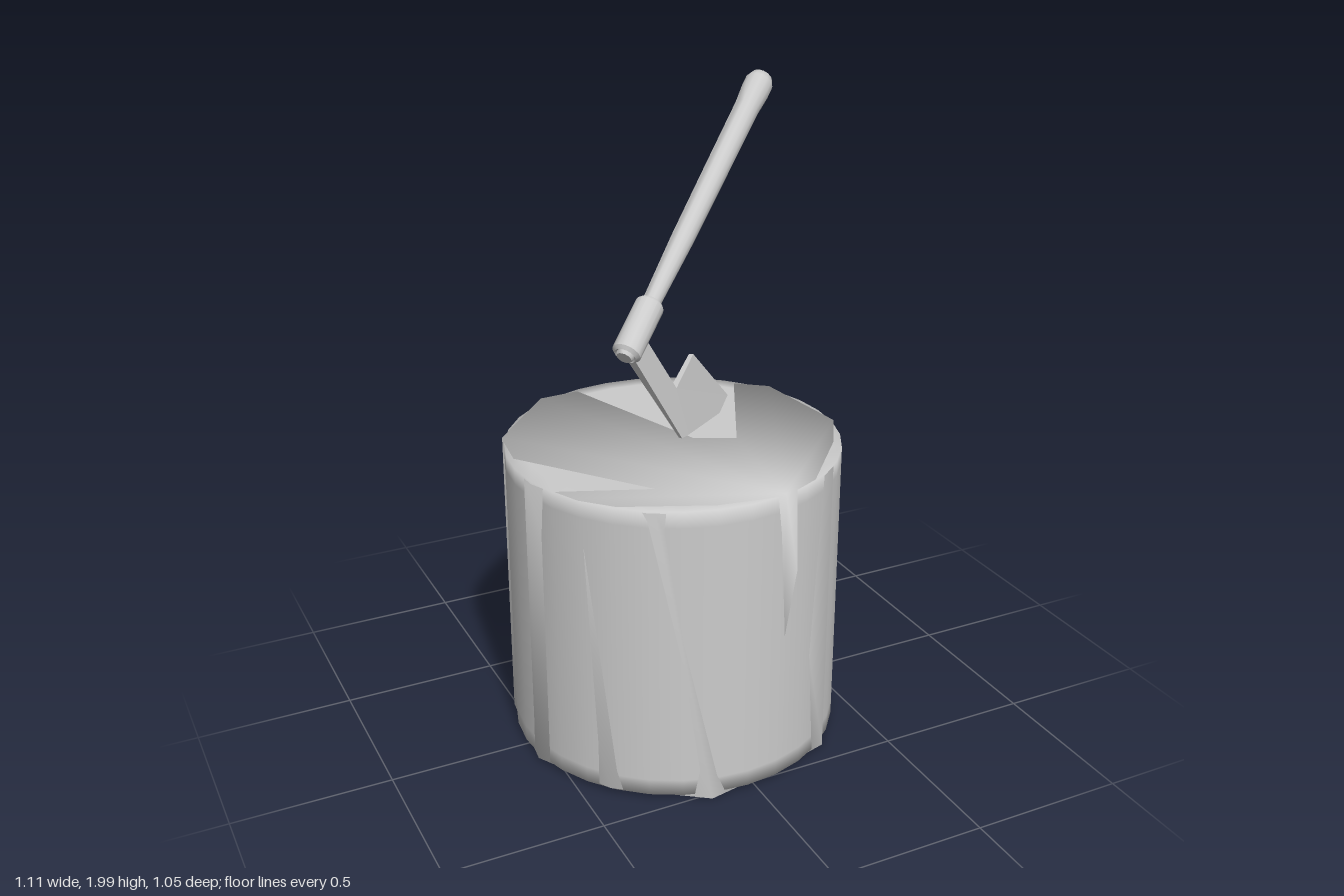
import * as THREE from 'three';
import { toCreasedNormals } from 'three/addons/utils/BufferGeometryUtils.js';

const material = new THREE.MeshStandardMaterial({ color: 0xcccccc });

function addMesh(parent, name, geometry) {
  const mesh = new THREE.Mesh(geometry, material);
  mesh.name = name;
  parent.add(mesh);
  return mesh;
}

function lathe(profile, sides) {
  return new THREE.LatheGeometry(profile.map(([r, y]) => new THREE.Vector2(r, y)), sides);
}

// Coarse bark: a leaning prism whose corners break through the round body as ridges,
// and whose uneven ends break through the flat ends as split patches.
// Each corner: top [angle, radius, height], bottom [angle, radius, height]
const BARK_CORNERS = [
  [[12, 0.532, 0.985], [16, 0.515, 0.024]],
  [[38, 0.533, 0.972], [37, 0.536, 0.008]],
  [[79, 0.531, 0.981], [79, 0.531, 0.012]],
  [[117, 0.534, 0.984], [109, 0.534, 0.022]],
  [[150, 0.533, 0.967], [150, 0.533, 0.006]],
  [[180, 0.526, 0.968], [190, 0.526, 0.024]],
  [[209, 0.533, 0.988], [217, 0.535, 0.01]],
  [[245, 0.532, 0.984], [247, 0.532, 0.022]],
  [[281, 0.534, 0.969], [281, 0.534, 0.012]],
  [[303, 0.524, 0.984], [313, 0.533, 0.024]],
  [[329, 0.533, 0.97], [347, 0.537, 0.004]],
];

function barkGeometry() {
  const n = BARK_CORNERS.length, pos = [], index = [];
  BARK_CORNERS.forEach(corner => corner.forEach(([angle, r, y]) => {
    const a = THREE.MathUtils.degToRad(angle);
    pos.push(r * Math.sin(a), y, r * Math.cos(a));
  }));
  for (let i = 0; i < n; i++) {
    const j = (i + 1) % n;
    const top = 2 * i, low = top + 1, nextTop = 2 * j, nextLow = nextTop + 1;
    index.push(low, nextLow, top, nextLow, nextTop, top);
    // both ends fan out from the front corner
    if (i > 0 && j > 0) index.push(0, top, nextTop, 1, nextLow, low);
  }
  const g = new THREE.BufferGeometry();
  g.setAttribute('position', new THREE.Float32BufferAttribute(pos, 3));
  g.setIndex(index);
  g.computeVertexNormals();
  return g;
}

// Flat-sided plate from outline points [x, y, z, half thickness]
function plate(outline, triangles) {
  const p = outline.map(([x, y, z]) => new THREE.Vector3(x, y, z));
  const n = new THREE.Vector3().crossVectors(p[1].clone().sub(p[0]), p[2].clone().sub(p[0])).normalize();
  const back = p.map((v, i) => v.clone().addScaledVector(n, outline[i][3]));
  const front = p.map((v, i) => v.clone().addScaledVector(n, -outline[i][3]));
  const pts = [];
  triangles.forEach(([a, b, c]) => pts.push(back[a], back[b], back[c], front[a], front[c], front[b]));
  p.forEach((_, i) => {
    const j = (i + 1) % p.length;
    pts.push(front[i], front[j], back[j], front[i], back[j], back[i]);
  });
  const g = new THREE.BufferGeometry().setFromPoints(pts);
  g.computeVertexNormals();
  return g;
}

export function createModel() {
  const model = new THREE.Group();
  model.name = 'choppingBlockWithAxe';

  const stump = new THREE.Group();
  stump.name = 'stump';
  stump.position.x = -0.028;
  model.add(stump);

  // Round body; the narrow bands beside each rim give it a soft shaded edge
  addMesh(stump, 'stumpBody', lathe([
    [0, 0.018], [0.47, 0.018], [0.525, 0.018], [0.525, 0.07],
    [0.525, 0.925], [0.525, 0.977], [0.47, 0.977], [0, 0.977],
  ], 32));
  addMesh(stump, 'barkRidges', barkGeometry());

  const axe = new THREE.Group();
  axe.name = 'axe';
  model.add(axe);

  // Shaft group runs along +y from the head end to the butt
  const start = new THREE.Vector3(-0.228, 1.314, 0.092);
  const end = new THREE.Vector3(0.535, 1.973, -0.488);
  const length = start.distanceTo(end);
  const shaft = new THREE.Group();
  shaft.name = 'shaft';
  shaft.position.copy(start);
  shaft.quaternion.setFromUnitVectors(new THREE.Vector3(0, 1, 0), end.clone().sub(start).normalize());
  axe.add(shaft);

  addMesh(shaft, 'handle', toCreasedNormals(lathe([
    [0, -0.008], [0.024, -0.008], [0.028, 0], [0.029, 0.22], [0.036, 0.45], [0.039, 0.75],
    [0.041, length - 0.15], [0.047, length - 0.07], [0.047, length - 0.035],
    [0.037, length - 0.01], [0.018, length], [0, length],
  ], 14), 0.9));

  // Socket holding the handle
  addMesh(shaft, 'headSocket', toCreasedNormals(lathe([
    [0.027, 0.006], [0.034, 0], [0.045, 0.01], [0.045, 0.19], [0.038, 0.2], [0.027, 0.2],
  ], 16), 0.7));

  // Neck and blade, tapering to a cutting edge sunk in the stump
  addMesh(axe, 'axeBlade', plate([
    [-0.215, 1.31, 0.084, 0.014],
    [-0.155, 1.35, 0.037, 0.014],
    [-0.02, 1.14, -0.012, 0.011],
    [0.075, 1.213, -0.082, 0.008],
    [0.247, 1.016, -0.163, 0.002],
    [0.06, 0.87, -0.01, 0.002],
  ], [[0, 1, 2], [0, 2, 5], [2, 3, 4], [2, 4, 5]]));

  return model;
}
